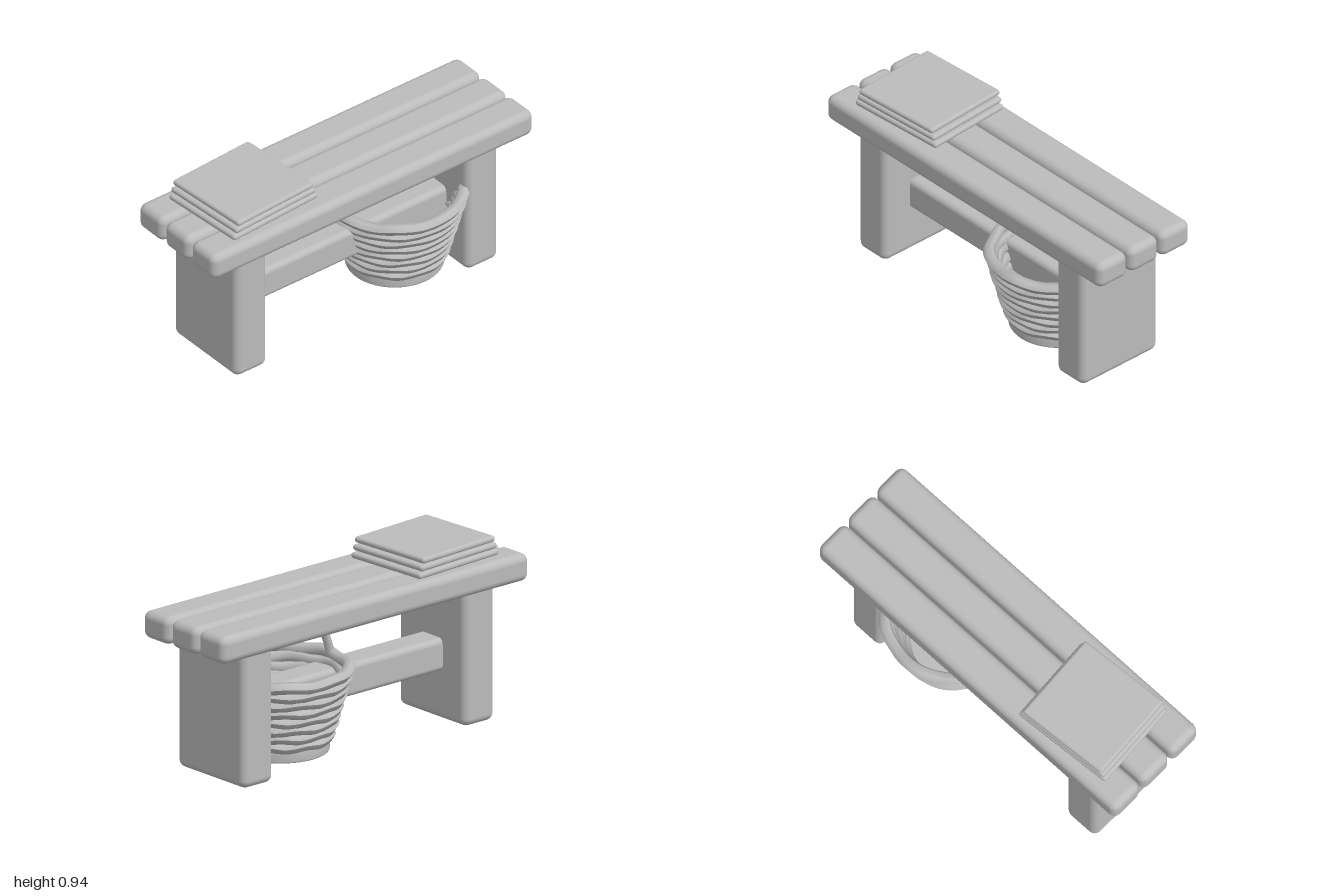
import * as THREE from 'three';
import { RoundedBoxGeometry } from 'three/addons/geometries/RoundedBoxGeometry.js';

export function createModel() {
  const model = new THREE.Group();
  model.name = 'benchWithBasket';
  const grey = new THREE.MeshStandardMaterial({ color: 0xbbbbbb });
  grey.name = 'plainGrey';

  const add = (parent, name, geometry, x, y, z) => {
    const mesh = new THREE.Mesh(geometry, grey);
    mesh.name = name;
    mesh.position.set(x, y, z);
    parent.add(mesh);
    return mesh;
  };
  const box = (w, h, d, r) => new RoundedBoxGeometry(w, h, d, 4, r);

  // Bench: three seat slats, two slab legs and a stretcher
  for (const z of [-0.205, 0, 0.205]) add(model, 'seatSlat', box(2, 0.142, 0.192, 0.04), 0, 0.761, z);
  for (const s of [-1, 1]) add(model, 'leg', box(0.2, 0.72, 0.5, 0.04), s * 0.72, 0.36, 0);
  add(model, 'stretcher', box(1.34, 0.17, 0.17, 0.03), 0, 0.337, 0);

  // Folded stack lying at a slight angle on the seat
  const stack = new THREE.Group();
  stack.name = 'foldedStack';
  stack.position.set(-0.575, 0, -0.004);
  stack.rotation.y = 0.063;
  [0.55, 0.525, 0.5].forEach((w, i) =>
    add(stack, 'foldedLayer', box(w, 0.031, 0.482, 0.0145), 0, 0.85 + i * 0.0373, 0));
  model.add(stack);

  // Woven basket: stacked wavy rings widening upwards
  const basket = new THREE.Group();
  basket.name = 'basket';
  basket.position.set(0.365, 0, 0);
  model.add(basket);
  const rings = 8, tube = 0.031;
  for (let i = 0; i < rings; i++) {
    const t = i / (rings - 1);
    const g = new THREE.TorusGeometry(0.244 + 0.09 * t, tube, 6, 64);
    g.rotateX(Math.PI / 2);
    const p = g.attributes.position;
    for (let k = 0; k < p.count; k++) {
      const x = p.getX(k), z = p.getZ(k);
      const wave = Math.sin(8 * Math.atan2(z, x) + i * 2.2);
      const f = 1 + 0.012 * wave;
      p.setXYZ(k, x * f, p.getY(k) + 0.006 * wave, z * f);
    }
    g.computeVertexNormals();
    add(basket, 'wovenRing', g, 0, 0.14 + 0.33 * t, 0);
  }

  // Solid round base with softened rims
  const profile = [[0, 0.055], [0.235, 0.055], [0.242, 0.057], [0.245, 0.064],
    [0.245, 0.108], [0.24, 0.116], [0, 0.116]].map(([r, y]) => new THREE.Vector2(r, y));
  add(basket, 'basketBase', new THREE.LatheGeometry(profile, 48), 0, 0, 0);

  // Slightly uneven arched handle
  const path = [[-0.33, 0.46], [-0.315, 0.52], [-0.285, 0.59], [-0.24, 0.625], [-0.17, 0.65],
    [-0.13, 0.662], [0, 0.652], [0.12, 0.658], [0.2, 0.635], [0.27, 0.61], [0.31, 0.54], [0.33, 0.46]];
  const curve = new THREE.CatmullRomCurve3(path.map(([x, y]) => new THREE.Vector3(x, y, 0)));
  add(basket, 'basketHandle', new THREE.TubeGeometry(curve, 48, 0.022, 8), 0, 0, 0);

  return model;
}
